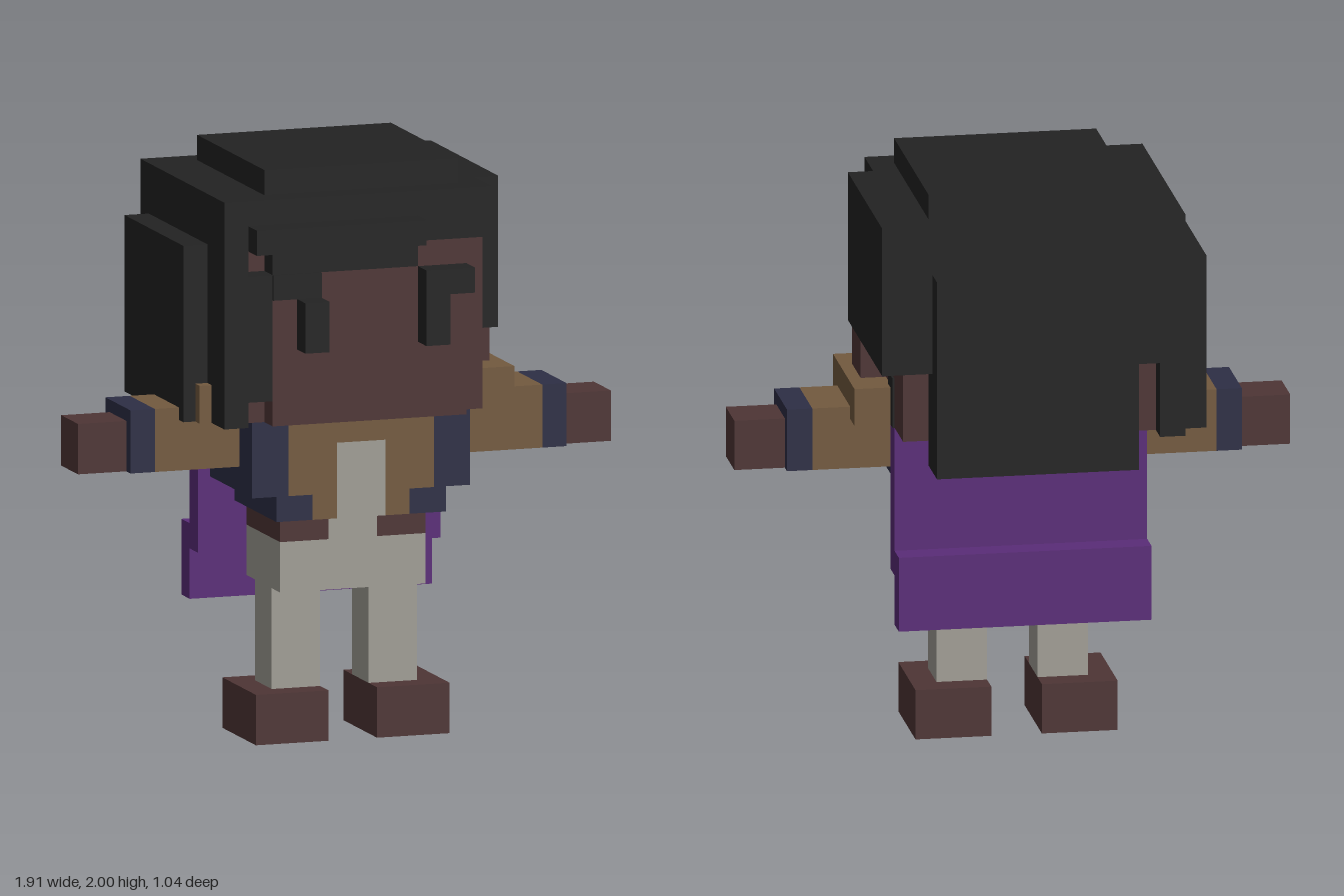
import * as THREE from 'three';

// One block of the voxel grid; the figure is 23 blocks tall
const U = 2 / 23;

export function createModel() {
  const model = new THREE.Group();
  const mat = (name, color) => {
    const m = new THREE.MeshStandardMaterial({ color });
    m.name = name;
    return m;
  };
  const skin = mat('dark brown', 0x4e3535);
  const hair = mat('black', 0x222222);
  const tan = mat('tan', 0x735a3f);
  const navy = mat('navy', 0x2d2e45);
  const cloth = mat('light grey', 0xa09d95);
  const purple = mat('purple', 0x5a2c78);

  // Box from minimum and maximum corners, in blocks
  function box(name, material, x0, x1, y0, y1, z0, z1) {
    const g = new THREE.BoxGeometry((x1 - x0) * U, (y1 - y0) * U, (z1 - z0) * U);
    const mesh = new THREE.Mesh(g, material);
    mesh.position.set((x0 + x1) / 2 * U, (y0 + y1) / 2 * U, (z0 + z1) / 2 * U);
    mesh.name = name;
    model.add(mesh);
  }
  // The same box on both sides
  function pair(name, material, x0, x1, ...rest) {
    box(name + 'Left', material, x0, x1, ...rest);
    box(name + 'Right', material, -x1, -x0, ...rest);
  }

  // Legs and hips
  pair('boot', skin, 1, 4, 0, 2, -1, 3);
  pair('leg', cloth, 1, 3, 2, 6, 0, 2);
  box('hips', cloth, -3, 3, 6, 8, -1, 3);
  pair('belt', skin, 1, 3, 8, 9, -1, 3);
  box('shirtTail', cloth, -1, 1, 8, 9, -1, 3);

  // Torso and jacket
  box('shirtFront', cloth, -1, 1, 9, 12, 0, 4);
  box('vestTop', tan, -1, 1, 12, 13, 0, 4);
  pair('vest', tan, 1, 3, 10, 13, 0, 4);
  pair('vestHem', tan, 1, 2, 9, 10, 0, 4);
  pair('jacketSide', navy, 3, 4.5, 10, 13, -1, 4);
  pair('jacketHem', navy, 2, 3.5, 9, 10, -1, 4);
  box('jacketBack', navy, -3, 3, 9, 13, -1, 0);
  box('collar', tan, -6.5, 6.5, 13, 14.5, -1.5, 3.5);

  // Arms
  pair('sleeve', tan, 4.5, 8, 11, 13.5, -0.5, 2.5);
  pair('cuff', navy, 8, 9, 11, 13.5, -0.5, 2.5);
  pair('hand', skin, 9, 11, 11, 13, 0, 2);

  // Cape
  box('capeUpper', purple, -5, 5, 7, 13, -2, -1);
  box('capeLower', purple, -5, 5, 5, 8, -3, -2);

  // Head and face
  box('head', skin, -5, 5, 13, 20, -4, 4);
  box('face', skin, -4, 4, 13, 19, 4, 5);
  box('forehead', skin, 2, 4, 19, 20, 4, 5);
  box('ear', skin, 5, 6, 14, 16, 0, 2);
  pair('eye', hair, 2, 3, 16, 18, 5, 6);
  box('browLeft', hair, 2, 4, 18, 19, 5, 6);
  box('browRight', hair, -4, -2, 18, 19, 5, 5.08);

  // Hair
  box('hairCap', hair, -6, 5, 20, 22, -5, 5);
  box('hairCrown', hair, -4, 4, 22, 23, -4, 4);
  box('hairSideLeft', hair, 5, 6, 16, 22, -5, 3);
  box('hairSideRight', hair, -6, -5, 13, 20, -5, 5);
  box('hairDrapeRight', hair, -7, -6, 13, 20, -4, 3);
  box('hairLockFront', hair, -5, -4, 14, 19, 4, 5);
  box('fringe', hair, -4, 2, 19, 20, 4, 5);
  box('fringeBar', hair, -5, 2, 20, 21, 5, 6);
  box('hairBack', hair, -5, 5, 16, 20, -5, -4);
  box('hairBackPanel', hair, -4, 4, 12, 20, -6, -4);
  box('hairLockLeft', hair, 5, 5.08, 13, 15, -2, -1);

  return model;
}
